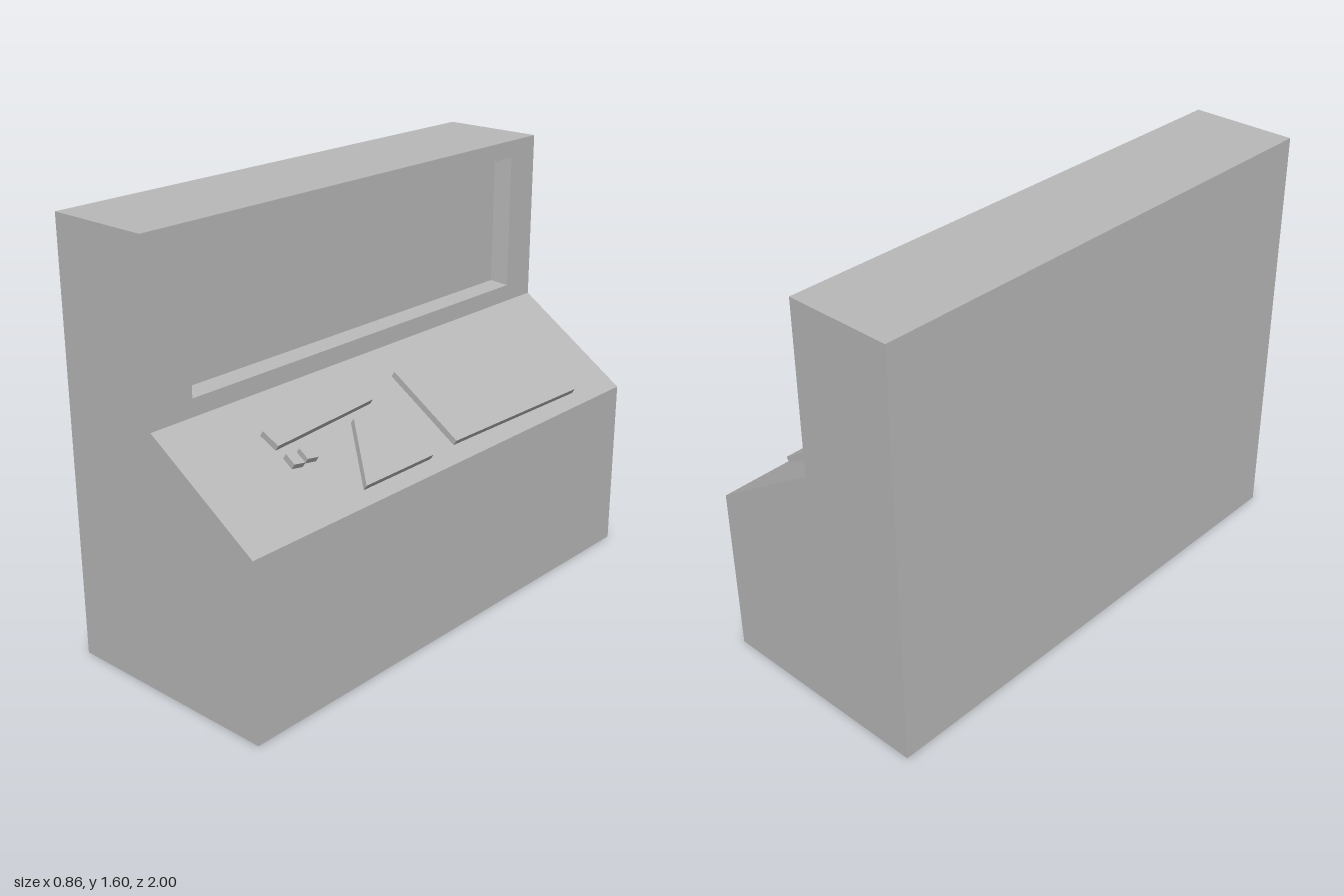
import * as THREE from 'three';

const grey = new THREE.MeshStandardMaterial({ color: 0xb8b8b8 });
grey.name = 'grey';

// Flat-shaded mesh from counter-clockwise quads
function quadMesh(name, quads) {
  const pos = [];
  for (const [a, b, c, d] of quads) pos.push(...a, ...b, ...c, ...a, ...c, ...d);
  const geo = new THREE.BufferGeometry();
  geo.setAttribute('position', new THREE.Float32BufferAttribute(pos, 3));
  geo.computeVertexNormals();
  const mesh = new THREE.Mesh(geo, grey);
  mesh.name = name;
  return mesh;
}

// Rectangle facing +x, counter-clockwise seen from +x
const loop = (x, zMin, zMax, y0, y1) =>
  [[x, y0, zMax], [x, y0, zMin], [x, y1, zMin], [x, y1, zMax]];

// Quads bridging two loops
const bridge = (a, b) => a.map((p, i) => {
  const j = (i + 1) % a.length;
  return [p, a[j], b[j], b[i]];
});

// Thin plate lying on the desk, outlined by [distance down the slope, z]
function plate(name, outline, height = 0.024) {
  const shape = new THREE.Shape(outline.map(([s, z]) => new THREE.Vector2(s, -z)));
  const geo = new THREE.ExtrudeGeometry(shape, { depth: height + 0.005, bevelEnabled: false });
  geo.rotateX(-Math.PI / 2).translate(0, -0.005, 0);
  const mesh = new THREE.Mesh(geo, grey);
  mesh.name = name;
  return mesh;
}

export function createModel() {
  const model = new THREE.Group();
  model.name = 'controlConsole';

  // Cabinet shell: profile walls and two ends, open where the screen sits
  const profile = [[-0.43, 0], [0.43, 0], [0.43, 0.66], [-0.02, 0.955], [-0.02, 1.6], [-0.43, 1.6]];
  const shell = [];
  profile.forEach(([x, y], i) => {
    if (i === 3) return;
    const [u, v] = profile[(i + 1) % profile.length];
    shell.push([[x, y, 1], [x, y, -1], [u, v, -1], [u, v, 1]]);
  });
  const endParts = [
    [[-0.43, 0], [-0.02, 0], [-0.02, 1.6], [-0.43, 1.6]],
    [[-0.02, 0], [0.43, 0], [0.43, 0.66], [-0.02, 0.955]],
  ];
  for (const part of endParts) {
    shell.push(part.map(([x, y]) => [x, y, 1]));
    shell.push(part.map(([x, y]) => [x, y, -1]).reverse());
  }
  model.add(quadMesh('cabinet', shell));

  // Screen surround, recess walls and the recessed screen
  const outer = loop(-0.02, -1, 1, 0.955, 1.6);
  const opening = loop(-0.02, -0.855, 0.82, 1.02, 1.535);
  const back = loop(-0.09, -0.842, 0.817, 1.03, 1.518);
  model.add(quadMesh('screenFrame', bridge(outer, opening)));
  model.add(quadMesh('screenRecess', bridge(opening, back)));
  model.add(quadMesh('screen', [back]));

  // Controls on the sloping desk
  const desk = new THREE.Group();
  desk.name = 'deskControls';
  desk.position.set(-0.02, 0.955, 0);
  desk.rotation.z = -Math.atan2(0.295, 0.45);
  desk.add(plate('largePanel', [[0.104, -0.757], [0.481, -0.753], [0.47, -0.038], [0.126, -0.034]]));
  desk.add(plate('barPanel', [[0.134, 0.152], [0.196, 0.147], [0.224, 0.636], [0.152, 0.646]]));
  desk.add(plate('trianglePanel', [[0.236, 0.283], [0.481, 0.1], [0.481, 0.445]]));
  for (const z of [0.55, 0.612]) {
    desk.add(plate('button', [[0.264, z - 0.021], [0.316, z - 0.023], [0.308, z + 0.021], [0.26, z + 0.02]]));
  }
  model.add(desk);
  return model;
}
